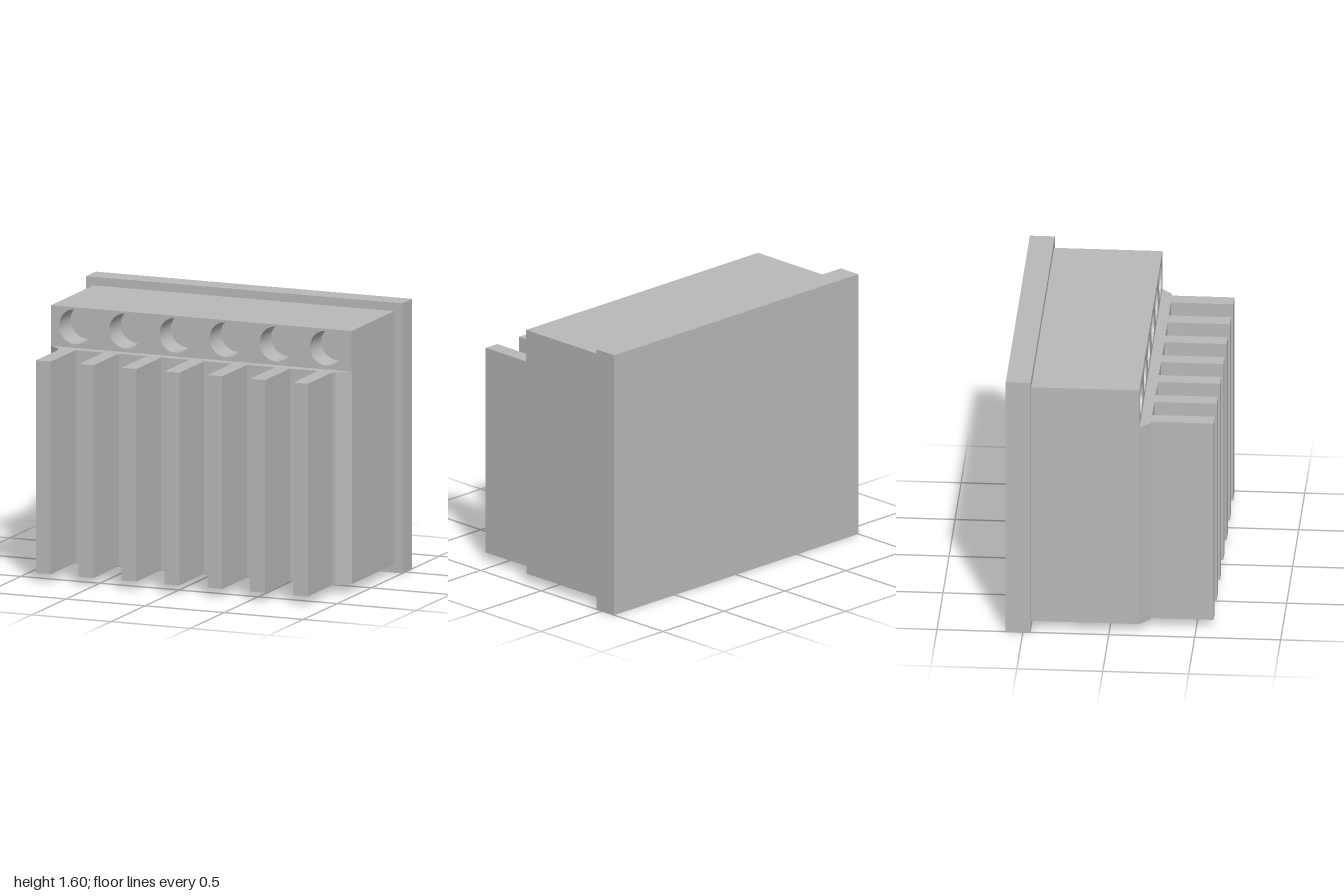
import * as THREE from 'three';

export function createModel() {
  const group = new THREE.Group();
  const grey = new THREE.MeshStandardMaterial({ color: 0xb8b8bb });
  grey.name = 'light grey';

  const add = (name, geometry, x = 0, y = 0, z = 0) => {
    const mesh = new THREE.Mesh(geometry, grey);
    mesh.name = name;
    mesh.position.set(x, y, z);
    group.add(mesh);
    return mesh;
  };

  const back = -0.6, flangeZ = -0.455, wallZ = 0.175, baseZ = 0.237, frontZ = 0.6;
  const bottom = 0.05, ledge = 1.31, top = 1.55, half = 0.95;

  // Back flange plate
  add('backFlange', new THREE.BoxGeometry(2, 1.6, flangeZ - back), 0, 0.8, (back + flangeZ) / 2);

  // Lower body and fins: one plan outline (x, -z) pulled upwards
  const plan = [[-half, flangeZ], [-half, wallZ - 0.005], [-0.88, baseZ]];
  for (let i = 0; i < 7; i++) {
    const x = -0.815 + i * 0.271;
    plan.push([x - 0.047, baseZ], [x - 0.047, frontZ], [x + 0.047, frontZ], [x + 0.047, baseZ]);
  }
  plan.push([0.88, baseZ], [half, wallZ - 0.005], [half, flangeZ]);
  const outline = new THREE.Shape(plan.map(([x, z]) => new THREE.Vector2(x, -z)));
  const finned = new THREE.ExtrudeGeometry(outline, { depth: ledge - bottom, bevelEnabled: false });
  finned.rotateX(-Math.PI / 2);
  add('finnedBody', finned, 0, bottom, 0);

  // Upper body: solid rear part and a front strip pierced by six blind holes
  const holeDepth = 0.17, holeR = 0.103, height = top - ledge;
  const rearDepth = wallZ - holeDepth - flangeZ;
  add('upperBody', new THREE.BoxGeometry(half * 2, height, rearDepth),
    0, (top + ledge) / 2, flangeZ + rearDepth / 2);

  const strip = new THREE.Shape([
    new THREE.Vector2(-half, ledge), new THREE.Vector2(half, ledge),
    new THREE.Vector2(half, top), new THREE.Vector2(-half, top),
  ]);
  for (let i = 0; i < 6; i++) {
    const hole = new THREE.Path();
    hole.absarc(-0.795 + i * 0.317, 1.435, holeR, 0, Math.PI * 2, true);
    strip.holes.push(hole);
  }
  add('holeStrip', new THREE.ExtrudeGeometry(strip,
    { depth: holeDepth, bevelEnabled: false, curveSegments: 32 }), 0, 0, wallZ - holeDepth);

  return group;
}
